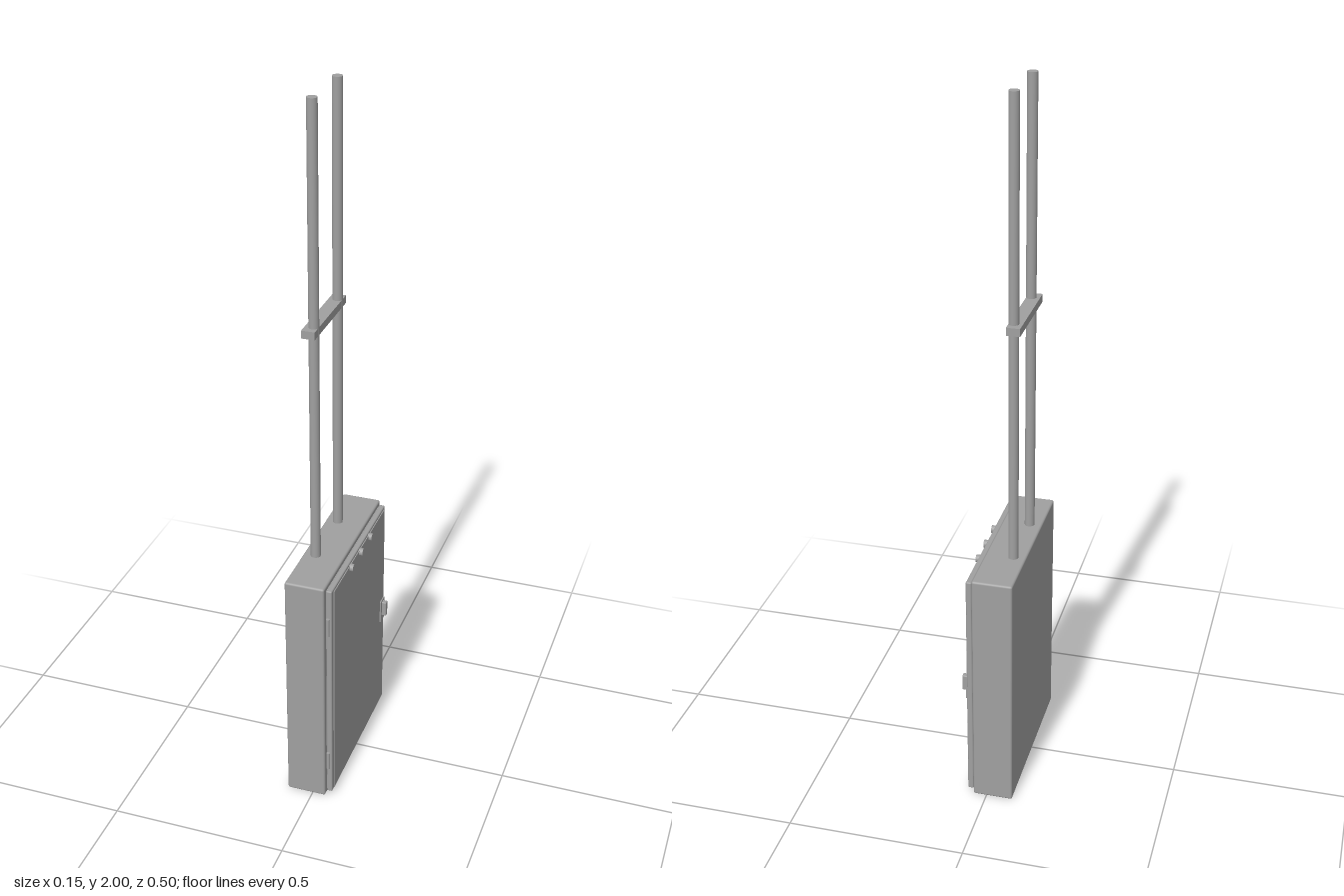
import * as THREE from 'three';
import { RoundedBoxGeometry } from 'three/addons/geometries/RoundedBoxGeometry.js';

export function createModel() {
  const group = new THREE.Group();
  const grey = new THREE.MeshStandardMaterial({ color: 0xa0a0a0 });
  grey.name = 'painted steel grey';

  const add = (name, geometry, x, y, z) => {
    const mesh = new THREE.Mesh(geometry, grey);
    mesh.name = name;
    mesh.position.set(x, y, z);
    group.add(mesh);
    return mesh;
  };
  // Box given by its extents on each axis, optionally with rounded edges
  const block = (name, [x0, x1], [y0, y1], [z0, z1], r = 0) => {
    const s = [x1 - x0, y1 - y0, z1 - z0];
    const g = r ? new RoundedBoxGeometry(...s, 3, r) : new THREE.BoxGeometry(...s);
    return add(name, g, (x0 + x1) / 2, (y0 + y1) / 2, (z0 + z1) / 2);
  };
  // Cylinder lying along x
  const stud = (name, r, x0, x1, y, z) => {
    const g = new THREE.CylinderGeometry(r, r, x1 - x0, 20).rotateZ(Math.PI / 2);
    return add(name, g, (x0 + x1) / 2, y, z);
  };

  // Cabinet shell with a recessed neck behind the door
  block('cabinetBody', [-0.075, 0.038], [0, 0.71], [-0.249, 0.249], 0.006);
  block('doorSeal', [0.03, 0.042], [0.014, 0.696], [-0.233, 0.231]);

  // Door and its slightly raised face panel
  block('door', [0.04, 0.056], [0.01, 0.7], [-0.239, 0.237], 0.004);
  block('doorPanel', [0.05, 0.0585], [0.018, 0.692], [-0.23, 0.222]);

  // Indicator lamps along the top of the door
  for (const z of [-0.085, -0.002, 0.082]) {
    stud('indicatorLamp', 0.011, 0.055, 0.068, 0.684, z);
  }

  // Door latch
  block('latchPlate', [0.055, 0.062], [0.315, 0.388], [-0.23, -0.195], 0.002);
  block('latchHandle', [0.06, 0.075], [0.335, 0.382], [-0.22, -0.204], 0.003);

  // Hinge barrels on the door edge
  for (const y of [0.125, 0.585]) {
    add('hinge', new THREE.CylinderGeometry(0.005, 0.005, 0.055, 16), 0.046, y, 0.241);
  }

  // Conduits rising from the cabinet, joined by a clamp bar
  for (const z of [-0.096, 0.092]) {
    add('conduit', new THREE.CylinderGeometry(0.014, 0.014, 1.3, 32), -0.04, 1.35, z);
  }
  block('clampBar', [-0.064, -0.027], [1.378, 1.4], [-0.126, 0.122]);

  return group;
}
